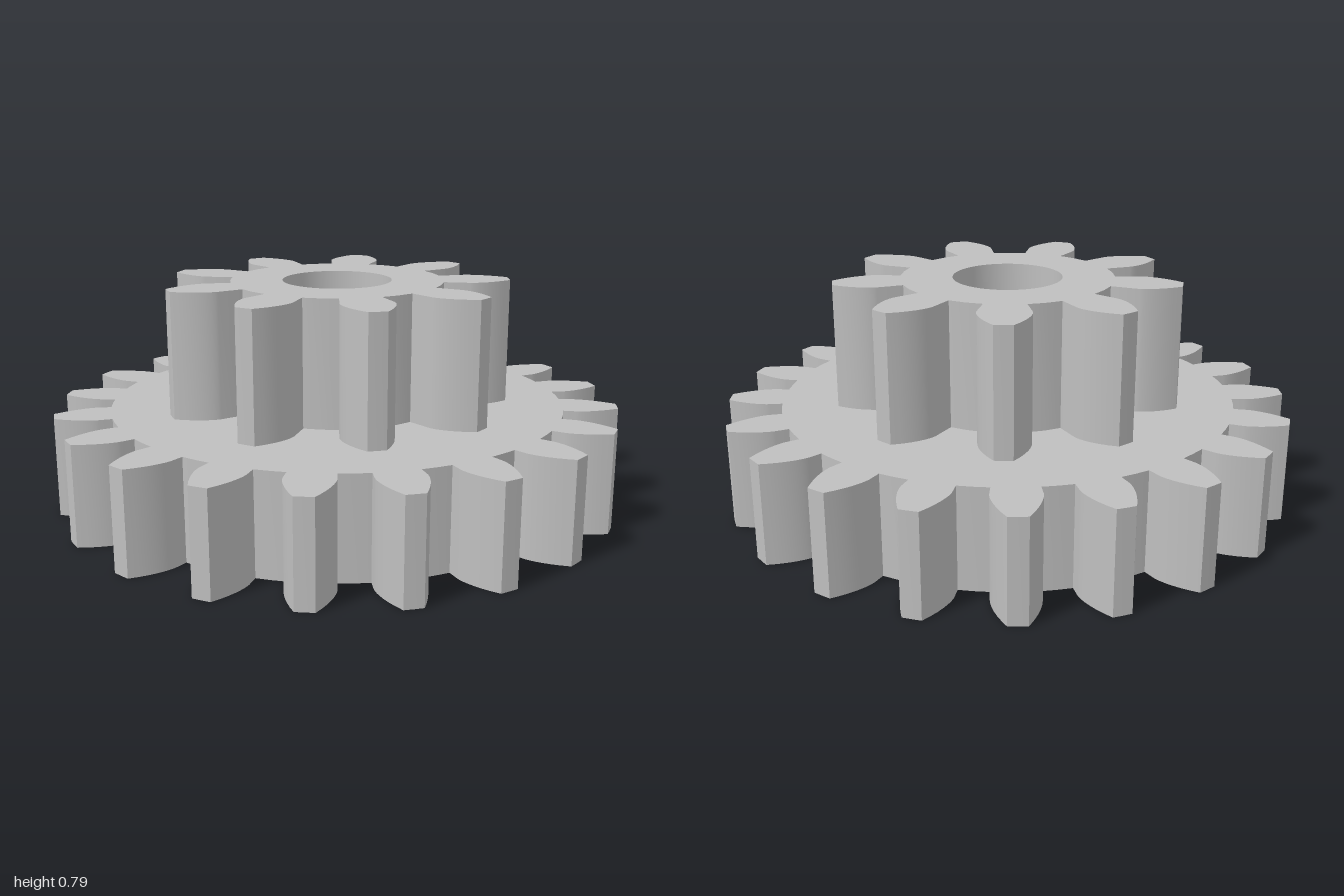
import * as THREE from 'three';
import { toCreasedNormals } from 'three/addons/utils/BufferGeometryUtils.js';

const BORE = 0.193;
const PRESSURE = THREE.MathUtils.degToRad(20);
const STEPS = 7;

// Outline of an involute spur gear with a round bore
function gearShape(teeth, tipR, rootR, phase) {
  const pitchR = tipR * teeth / (teeth + 2);
  const baseR = pitchR * Math.cos(PRESSURE);
  const baseHalf = Math.PI / (2 * teeth) + Math.tan(PRESSURE) - PRESSURE;

  // One flank as [radius, half angle]: radial foot, then involute to the tip
  const flank = [[rootR, baseHalf]];
  for (let i = 0; i <= STEPS; i++) {
    const r = baseR + (tipR - baseR) * (i / STEPS) ** 1.4;
    const phi = Math.acos(Math.min(1, baseR / r));
    flank.push([r, baseHalf - Math.tan(phi) + phi]);
  }

  const points = [];
  const add = (r, a) => points.push(new THREE.Vector2(r * Math.cos(a), r * Math.sin(a)));
  for (let t = 0; t < teeth; t++) {
    const mid = phase + t * 2 * Math.PI / teeth;
    flank.forEach(([r, a]) => add(r, mid - a));
    add(tipR, mid);
    [...flank].reverse().forEach(([r, a]) => add(r, mid + a));
    add(rootR, mid + Math.PI / teeth);
  }

  const shape = new THREE.Shape(points);
  shape.holes.push(new THREE.Path().absarc(0, 0, BORE, 0, Math.PI * 2, true));
  return shape;
}

function gear(name, material, { teeth, tipR, rootR, phase, bottom, top }) {
  const shape = gearShape(teeth, tipR, rootR, THREE.MathUtils.degToRad(phase));
  const solid = new THREE.ExtrudeGeometry(shape, {
    depth: top - bottom, bevelEnabled: false, curveSegments: 32,
  });
  solid.rotateX(-Math.PI / 2);
  solid.translate(0, bottom, 0);
  const mesh = new THREE.Mesh(toCreasedNormals(solid, 0.45), material);
  mesh.name = name;
  return mesh;
}

export function createModel() {
  const grey = new THREE.MeshStandardMaterial({ color: 0xbfbfbf });
  grey.name = 'grey';

  const model = new THREE.Group();
  model.name = 'compoundGear';
  model.add(
    gear('largeGear', grey, { teeth: 20, tipR: 1, rootR: 0.807, phase: -3.1, bottom: 0, top: 0.35 }),
    gear('smallPinion', grey, { teeth: 9, tipR: 0.61, rootR: 0.377, phase: -14, bottom: 0.35, top: 0.79 }),
  );
  return model;
}
